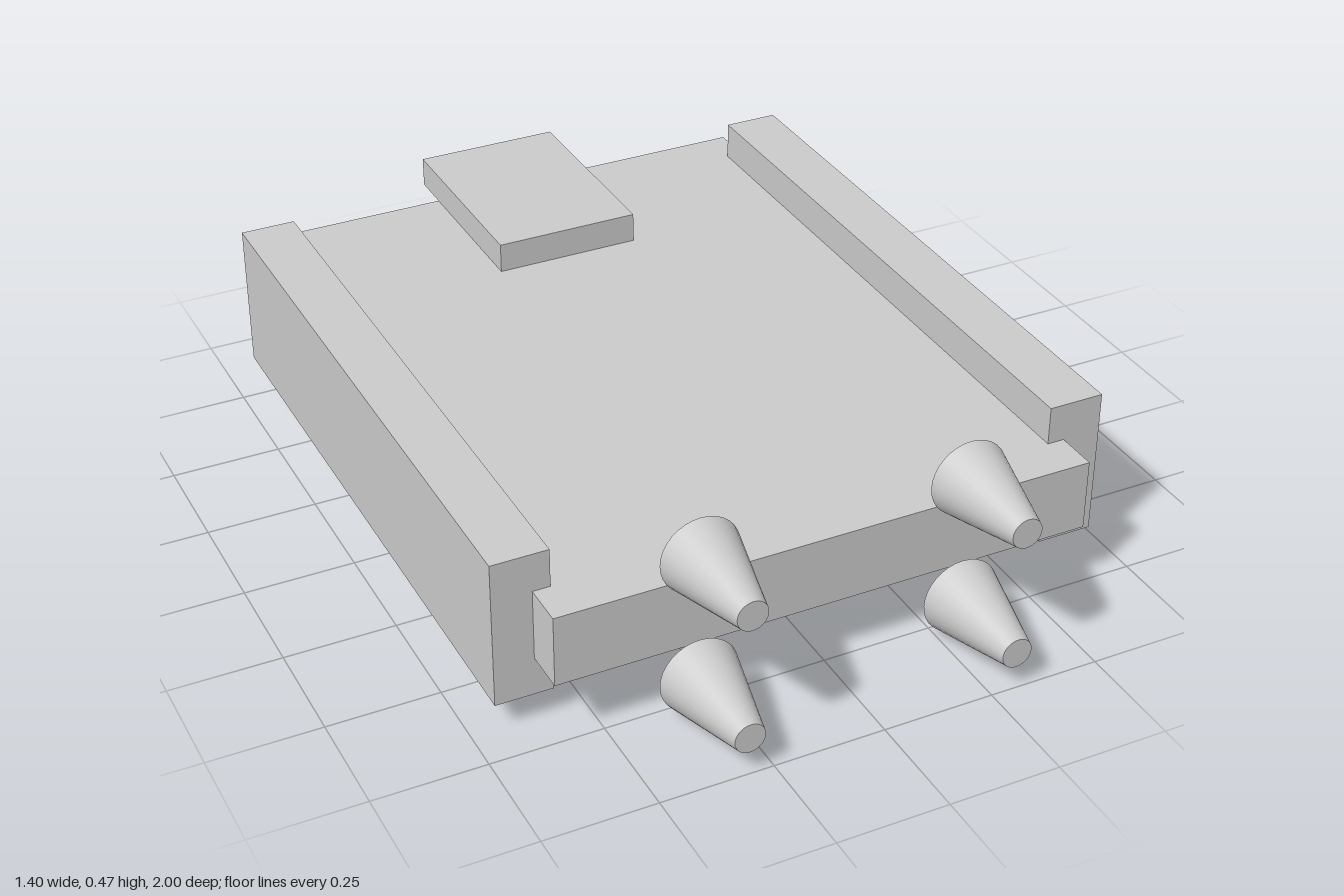
import * as THREE from 'three';

const material = new THREE.MeshStandardMaterial({ color: 0xcccccc });

// Box given by its minimum and maximum on each axis
function box(name, [x0, x1], [y0, y1], [z0, z1]) {
  const mesh = new THREE.Mesh(new THREE.BoxGeometry(x1 - x0, y1 - y0, z1 - z0), material);
  mesh.position.set((x0 + x1) / 2, (y0 + y1) / 2, (z0 + z1) / 2);
  mesh.name = name;
  return mesh;
}

export function createModel() {
  const model = new THREE.Group();
  model.name = 'slab';

  // Main deck and the raised plate overhanging its back edge
  model.add(box('deck', [-0.612, 0.612], [0.159, 0.322], [-0.905, 0.765]));
  model.add(box('backPlate', [-0.171, 0.171], [0.322, 0.392], [-1, -0.515]));

  // Side rails
  model.add(box('leftRail', [0.573, 0.7], [0.07, 0.41], [-0.805, 0.667]));
  model.add(box('rightRail', [-0.7, -0.573], [0.07, 0.41], [-0.805, 0.667]));

  // Four tapered nozzles floating ahead of the front edge, narrow end forward
  const nozzle = new THREE.CylinderGeometry(0.034, 0.088, 0.22, 32).rotateX(Math.PI / 2);
  for (const [side, x] of [['left', 0.304], ['right', -0.304]]) {
    for (const [level, y] of [['Upper', 0.385], ['Lower', 0.09]]) {
      const mesh = new THREE.Mesh(nozzle, material);
      mesh.position.set(x, y, 0.89);
      mesh.name = `${side}${level}Nozzle`;
      model.add(mesh);
    }
  }
  return model;
}
